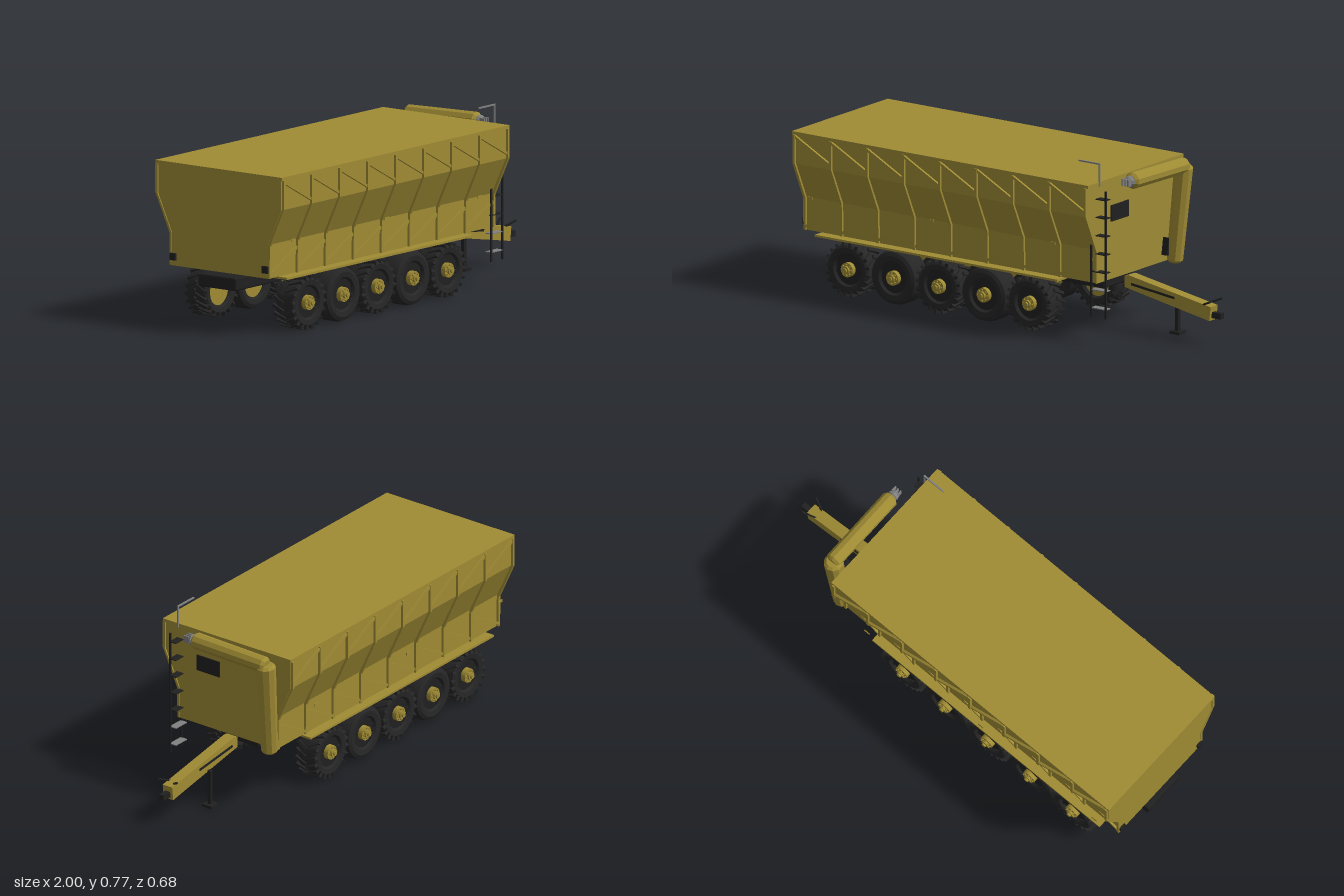
import * as THREE from 'three';
import { mergeGeometries, toCreasedNormals } from 'three/addons/utils/BufferGeometryUtils.js';
import { RoundedBoxGeometry } from 'three/addons/geometries/RoundedBoxGeometry.js';

const material = (name, color) => Object.assign(new THREE.MeshStandardMaterial({ color }), { name });
const V = (x, y, z) => new THREE.Vector3(x, y, z);

export function createModel() {
  const root = new THREE.Group();
  root.name = 'grainTrailer';
  const gold = material('ochrePaint', 0xa08c34);
  const black = material('blackSteel', 0x202020);
  const rubber = material('tyreRubber', 0x262626);
  const grey = material('greyMetal', 0x808080);

  const add = (name, geometry, mat, parent = root) => {
    const mesh = new THREE.Mesh(geometry, mat);
    mesh.name = name;
    parent.add(mesh);
    return mesh;
  };
  // Box given by its limits on each axis
  const box = (name, mat, x0, x1, y0, y1, z0, z1, parent) => {
    const mesh = add(name, new THREE.BoxGeometry(x1 - x0, y1 - y0, z1 - z0), mat, parent);
    mesh.position.set((x0 + x1) / 2, (y0 + y1) / 2, (z0 + z1) / 2);
    return mesh;
  };
  // Aim a part built along y from point a to point b
  const span = (mesh, a, b) => {
    mesh.position.copy(a).add(b).multiplyScalar(0.5);
    mesh.quaternion.setFromUnitVectors(V(0, 1, 0), b.clone().sub(a).normalize());
    return mesh;
  };
  const bar = (name, mat, a, b, w, d = w) =>
    span(add(name, new THREE.BoxGeometry(w, a.distanceTo(b), d), mat), a, b);
  // Faceted tube with chamfered ends
  const tube = (name, mat, a, b, r0, r1) => {
    const h = a.distanceTo(b) / 2, c = 0.012;
    const pts = [[0, -h], [r0 - c, -h], [r0, -h + c], [r1, h - c], [r1 - c, h], [0, h]];
    const g = new THREE.LatheGeometry(pts.map(p => new THREE.Vector2(...p)), 10);
    return span(add(name, toCreasedNormals(g, 0.3), mat), a, b);
  };
  // Extrude a (z, y) outline along x
  const section = (pts, x0, x1) => {
    const shape = new THREE.Shape(pts.map(([z, y]) => new THREE.Vector2(-z, y)));
    const g = new THREE.ExtrudeGeometry(shape, { depth: x1 - x0, bevelEnabled: false });
    return g.rotateY(Math.PI / 2).translate(x0, 0, 0);
  };

  // Hopper and roof cover
  const half = [[0.255, 0.249], [0.255, 0.392], [0.326, 0.547], [0.326, 0.676]];
  const mirrored = [...half].reverse().map(([z, y]) => [-z, y]);
  add('hopper', section([...half, ...mirrored], -0.98, 0.54), gold);
  box('roofCover', gold, -0.988, 0.55, 0.674, 0.688, -0.336, 0.336);

  // Side ribs, diagonal braces, marker plates and mudguards
  const rib = [[0.342, 0.675], [0.342, 0.552], [0.267, 0.388], [0.265, 0.25],
    [0.254, 0.25], [0.257, 0.392], [0.331, 0.55], [0.331, 0.675]];
  const bays = 8, first = -0.975, step = 0.189;
  for (const s of [1, -1]) {
    const ribGeometry = section(rib.map(([z, y]) => [s * z, y]), -0.006, 0.006);
    for (let i = 0; i <= bays; i++) {
      const x = first + i * step;
      add('sideRib', ribGeometry, gold).position.x = x;
      if (i === bays) break;
      bar('upperBrace', gold, V(x, 0.668, s * 0.335), V(x + step, 0.568, s * 0.335), 0.011);
      bar('lowerBrace', gold, V(x, 0.262, s * 0.259), V(x + step, 0.36, s * 0.259), 0.011);
    }
    for (const x of [-0.9, -0.27, 0.36])
      box('sideMarker', gold, x - 0.014, x + 0.014, 0.404, 0.416, s * 0.328 - 0.0015, s * 0.328 + 0.0015);
    box('mudguard', gold, -0.9, 0.36, 0.237, 0.246, s * 0.235 - 0.06, s * 0.235 + 0.06);
    box('rearLamp', black, -0.99, -0.972, 0.272, 0.302, s * 0.245 - 0.015, s * 0.245 + 0.015);
  }

  // Chassis beam
  const chassis = add('chassisBeam', new RoundedBoxGeometry(1.46, 0.056, 0.2, 2, 0.008), black);
  chassis.position.set(-0.27, 0.208, 0);
  add('chassisKeel', section([[0.065, 0.185], [0.04, 0.165], [-0.04, 0.165], [-0.065, 0.185]], -0.85, 0.3), black);

  // Wheels, built with the outer side facing +z
  const ring = (r, r1) => toCreasedNormals(new THREE.LatheGeometry([
    [0.066, -0.04], [0.074, -0.05], [0.096, -0.053], [r1, -0.046], [r, -0.025], [r, 0.025],
    [r1, 0.046], [0.096, 0.053], [0.074, 0.05], [0.066, 0.04],
  ].map(p => new THREE.Vector2(...p)), 40), 0.5).rotateX(Math.PI / 2);
  const disc = (r, z0, z1, n = 28) =>
    new THREE.CylinderGeometry(r, r, z1 - z0, n).rotateX(Math.PI / 2).translate(0, 0, (z0 + z1) / 2);
  const lugs = [];
  const lugCount = 20;
  for (let i = 0; i < lugCount; i++) for (const s of [1, -1]) {
    const g = new THREE.BoxGeometry(0.013, 0.02, 0.058);
    g.rotateY(s * 0.45).translate(0, 0.106, s * 0.026);
    lugs.push(g.rotateZ((i + (s > 0 ? 0 : 0.5)) * Math.PI * 2 / lugCount));
  }
  const luggedTyre = mergeGeometries([ring(0.109, 0.105).toNonIndexed(), ...lugs.map(g => g.toNonIndexed())]);
  const smoothTyre = ring(0.117, 0.111);
  const bolts = [];
  for (let i = 0; i < 8; i++) {
    const a = i * Math.PI / 4;
    bolts.push(disc(0.004, 0.05, 0.062, 6).translate(0.023 * Math.cos(a), 0.023 * Math.sin(a), 0));
  }
  const hub = mergeGeometries([disc(0.031, 0.03, 0.055), disc(0.017, 0.05, 0.066, 16),
    disc(0.01, 0.06, 0.074, 10), ...bolts]);
  const outerRim = disc(0.069, 0, 0.034), innerRim = disc(0.069, -0.034, 0);
  for (let i = 0; i < 5; i++) for (const s of [1, -1]) {
    const wheel = new THREE.Group();
    wheel.name = 'wheel';
    add('tyre', i % 2 ? smoothTyre : luggedTyre, rubber, wheel);
    add('outerRim', outerRim, black, wheel);
    add('innerRim', innerRim, gold, wheel);
    add('hub', hub, gold, wheel);
    wheel.position.set(-0.738 + i * 0.2353, 0.117, s * 0.234);
    if (s < 0) wheel.rotation.y = Math.PI;
    root.add(wheel);
  }

  // Drawbar, hitch and hoses
  const side = new THREE.Shape([[0.51, 0.182], [0.95, 0.102], [0.957, 0.163], [0.53, 0.236], [0.51, 0.23]]
    .map(p => new THREE.Vector2(...p)));
  add('drawbar', new THREE.ExtrudeGeometry(side, { depth: 0.05, bevelEnabled: false }).translate(0, 0, -0.025), gold);
  box('hitch', black, 0.945, 1, 0.113, 0.138, -0.012, 0.012);
  for (const s of [1, -1]) {
    bar('drawbarSlot', black, V(0.545, 0.2, s * 0.026), V(0.77, 0.174, s * 0.026), 0.01, 0.004);
    bar('hose', black, V(0.91, 0.165, s * 0.018), V(0.968, 0.19, s * 0.042), 0.007);
  }

  // Parking jack
  box('jackPost', black, 0.722, 0.738, 0.008, 0.165, -0.058, -0.042);
  box('jackFoot', black, 0.705, 0.754, 0, 0.012, -0.075, -0.026);

  // Unloading auger with spout
  tube('augerRiser', gold, V(0.572, 0.244, -0.243), V(0.612, 0.668, -0.253), 0.036, 0.042);
  tube('augerArm', gold, V(0.614, 0.665, -0.29 + 0.03), V(0.614, 0.674, 0.122), 0.035, 0.036);
  tube('augerSpout', grey, V(0.614, 0.674, 0.115), V(0.614, 0.674, 0.15), 0.026, 0.022);
  for (const dx of [-0.015, 0, 0.015])
    bar('spoutFinger', grey, V(0.614 + dx, 0.674, 0.14), V(0.614 + dx, 0.674, 0.163), 0.006, 0.03);
  add('augerBracket', section([[-0.193, 0.28], [-0.205, 0.28], [-0.205, 0.355]], 0.54, 0.57), black);

  // Front window
  box('window', black, 0.538, 0.545, 0.497, 0.567, 0.042, 0.163);

  // Ladder
  box('outerRail', black, 0.587, 0.595, 0.105, 0.655, 0.262, 0.269);
  box('innerRail', black, 0.511, 0.519, 0.105, 0.415, 0.262, 0.269);
  for (let i = 0; i < 7; i++) {
    const y = 0.144 + i * 0.0785;
    box('rung', i < 2 ? grey : black, i < 3 ? 0.515 : 0.54, 0.592, y - 0.002, y + 0.002, 0.235, 0.268);
  }

  // Roof handrail
  box('handrailPost', grey, 0.547, 0.554, 0.67, 0.769, 0.252, 0.259);
  box('handrailTop', grey, 0.443, 0.554, 0.763, 0.769, 0.252, 0.259);
  return root;
}
